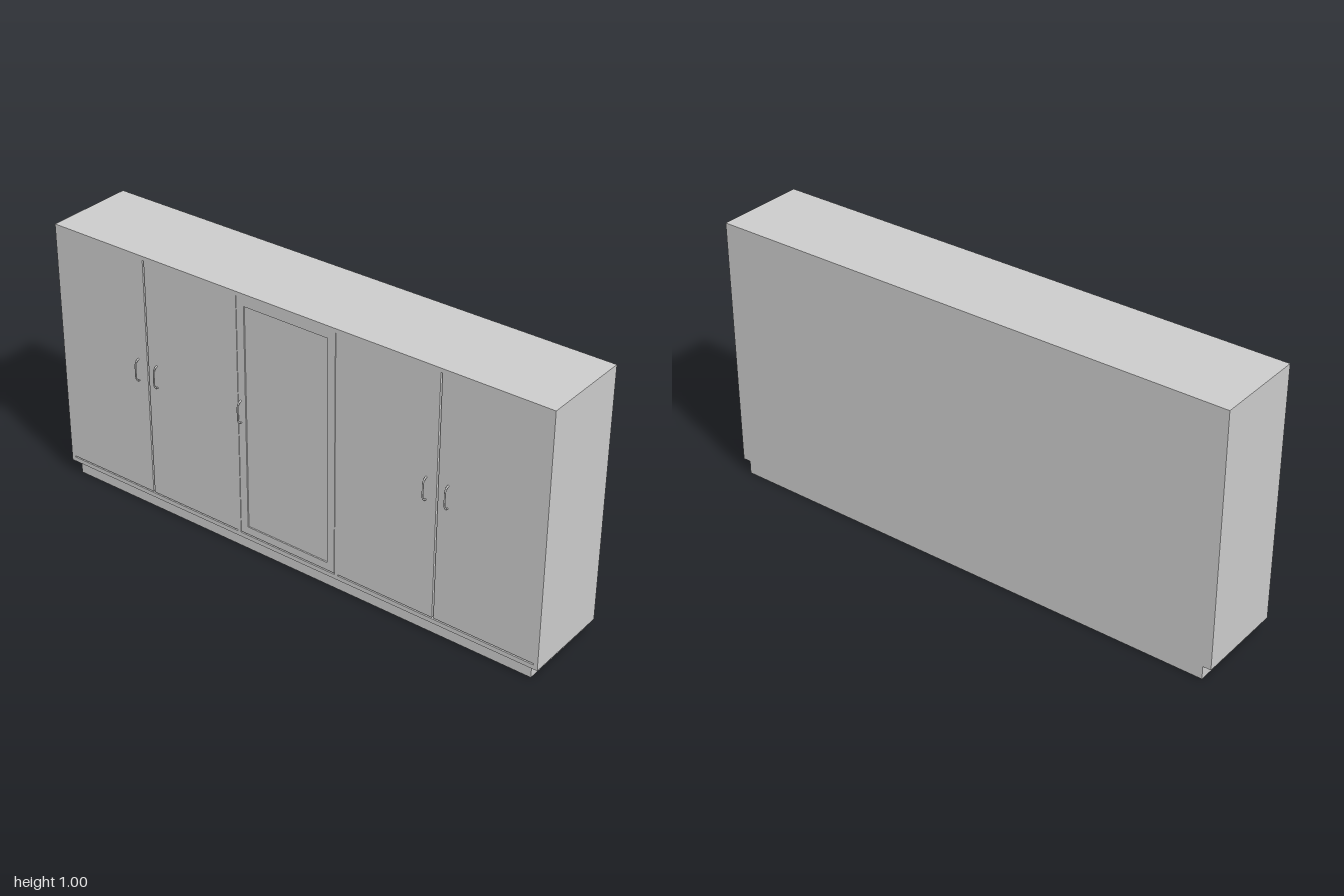
import * as THREE from 'three';

export function createModel() {
  const group = new THREE.Group();
  group.name = 'cabinet';
  const material = new THREE.MeshStandardMaterial({ color: 0xcccccc });

  // Box given by its minimum and maximum on each axis
  function box(name, x0, x1, y0, y1, z0, z1) {
    const mesh = new THREE.Mesh(new THREE.BoxGeometry(x1 - x0, y1 - y0, z1 - z0), material);
    mesh.position.set((x0 + x1) / 2, (y0 + y1) / 2, (z0 + z1) / 2);
    mesh.name = name;
    group.add(mesh);
  }

  const back = -0.18, front = 0.16, doorBack = 0.146;
  const bottom = 0.05, railTop = 0.067, doorBottom = 0.072, lidBottom = 0.985;

  // Carcass, recessed plinth and lid
  box('plinth', -0.97, 0.97, 0, bottom, back, 0.145);
  box('carcass', -0.985, 0.985, bottom, lidBottom, back, doorBack);
  box('lid', -1, 1, lidBottom, 1, back, front);
  box('rightSide', -1, -0.985, bottom, lidBottom, back, front);
  box('leftSide', 0.985, 1, bottom, lidBottom, back, front);
  box('bottomRail', -0.985, 0.985, bottom, railTop, doorBack, front);

  // Outer door pairs and the dividers beside the middle door
  for (const s of [-1, 1]) {
    const side = s < 0 ? 'right' : 'left';
    const span = (name, a, b, y0) =>
      box(side + name, Math.min(s * a, s * b), Math.max(s * a, s * b), y0, lidBottom, doorBack, front);
    span('Divider', 0.202, 0.215, railTop);
    span('InnerDoor', 0.215, 0.597, doorBottom);
    span('OuterDoor', 0.603, 0.985, doorBottom);
  }

  // Middle door: a frame around a slightly recessed panel
  const frame = new THREE.Shape();
  const rect = (path, w, y0, y1) =>
    path.moveTo(-w, y0).lineTo(w, y0).lineTo(w, y1).lineTo(-w, y1).closePath();
  rect(frame, 0.2, doorBottom, lidBottom);
  const opening = new THREE.Path();
  rect(opening, 0.17, 0.102, 0.955);
  frame.holes.push(opening);
  const middleFrame = new THREE.Mesh(
    new THREE.ExtrudeGeometry(frame, { depth: front - doorBack, bevelEnabled: false }), material);
  middleFrame.position.z = doorBack;
  middleFrame.name = 'middleDoorFrame';
  group.add(middleFrame);
  box('middleDoorPanel', -0.17, 0.17, 0.102, 0.955, doorBack, 0.155);

  // Bow handles: straight grip with rounded ends turning into the door
  const path = new THREE.CurvePath();
  const p = (y, z) => new THREE.Vector3(0, y, z);
  const grip = 0.177;
  path.add(new THREE.CubicBezierCurve3(p(0.513, front - 0.003), p(0.513, 0.17), p(0.522, grip), p(0.536, grip)));
  path.add(new THREE.LineCurve3(p(0.536, grip), p(0.574, grip)));
  path.add(new THREE.CubicBezierCurve3(p(0.574, grip), p(0.588, grip), p(0.597, 0.17), p(0.597, front - 0.003)));
  const handleGeometry = new THREE.TubeGeometry(path, 32, 0.003, 10, false);
  for (const x of [-0.643, -0.56, -0.19, 0.557, 0.64]) {
    const handle = new THREE.Mesh(handleGeometry, material);
    handle.position.x = x;
    handle.name = 'handle';
    group.add(handle);
  }

  return group;
}
